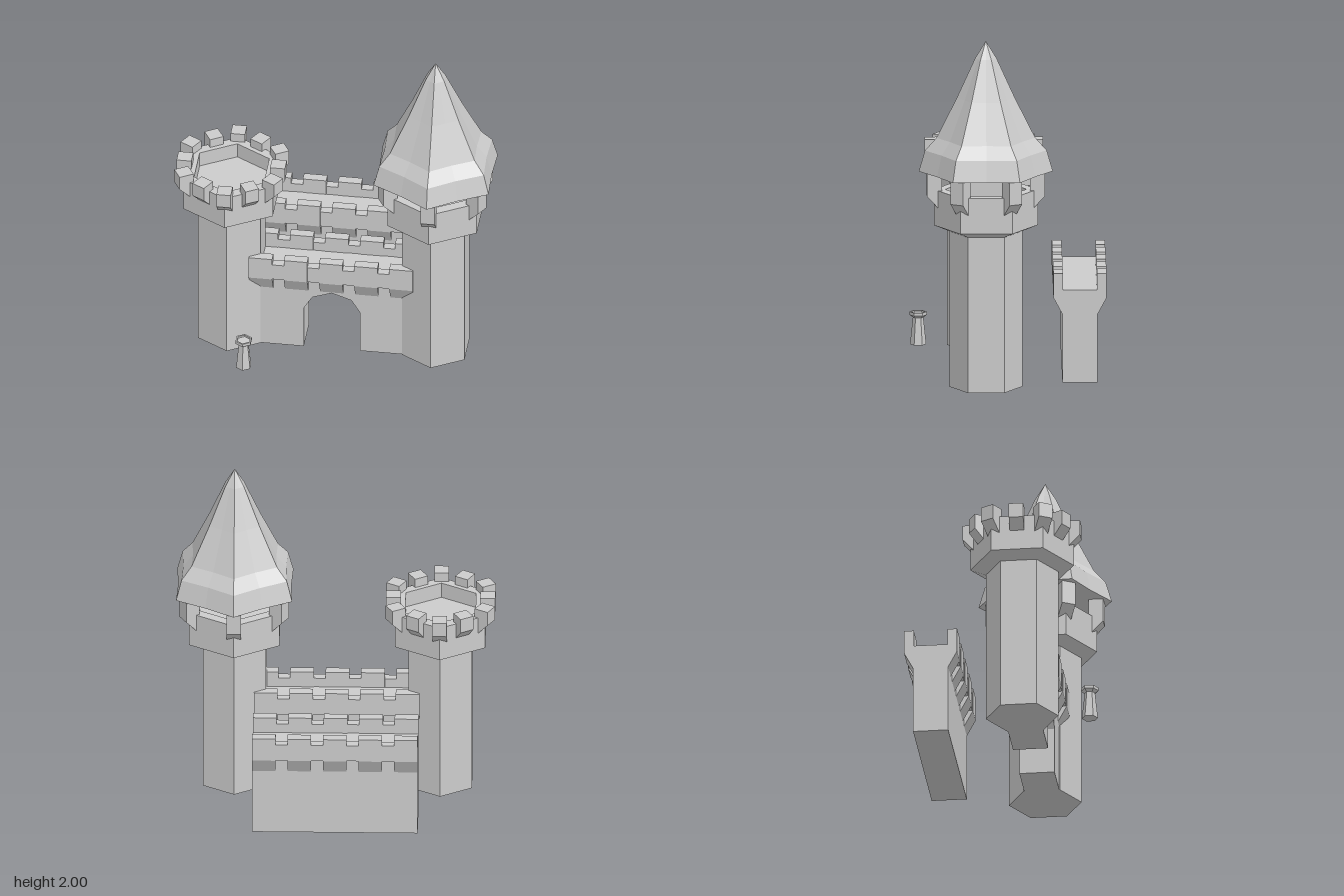
import * as THREE from 'three';

const mat = new THREE.MeshStandardMaterial({ color: 0xcccccc, flatShading: true });

function add(parent, name, geometry) {
  const mesh = new THREE.Mesh(geometry, mat);
  mesh.name = name;
  parent.add(mesh);
  return mesh;
}

const vecs = pts => pts.map(([a, b]) => new THREE.Vector2(a, b));

// Six-sided solid turned from a (radius, y) profile, corners on +z and -z
const hexSolid = (pts, sides = 6) => new THREE.LatheGeometry(vecs(pts), sides);

// Profile extruded symmetrically about z = 0
function slab(pts, depth) {
  const g = new THREE.ExtrudeGeometry(new THREE.Shape(vecs(pts)), { depth, bevelEnabled: false });
  return g.translate(0, 0, -depth / 2);
}

// Tower with flared head, sunken deck and bracketed merlons
function tower(name, x, merlons, merlonTop) {
  const g = new THREE.Group();
  g.name = name;
  g.position.set(x, 0, 0.13);
  add(g, 'towerBody', hexSolid([
    [0, 0], [0.207, 0], [0.207, 0.9], [0.295, 0.935], [0.295, 1.142],
    [0.23, 1.142], [0.23, 1.05], [0, 1.05]]));
  const step = 12 / merlons;
  for (let i = 0; i < 12; i += step) {
    // Corners reach further out than the flat sides
    const corner = i % 2 === 0;
    const inner = corner ? 0.25 : 0.225, outer = corner ? 0.335 : 0.31;
    const m = add(g, 'towerMerlon', slab([
      [inner, 1.04], [outer - 0.065, 1.04], [outer, 1.11],
      [outer, merlonTop], [inner, merlonTop]], 0.082));
    m.rotation.y = i * Math.PI / 6 - Math.PI / 2;
  }
  return g;
}

// Concave spire: six ridges with slightly hollow faces between them
function spire() {
  const g = hexSolid([
    [0, 1.246], [0.38, 1.246], [0.345, 1.367], [0.28, 1.44],
    [0.165, 1.67], [0.061, 1.9], [0, 2]], 12);
  const p = g.attributes.position;
  const hollow = Math.cos(Math.PI / 6) * 0.975;
  for (let i = 0; i < p.count; i++) {
    const k = Math.round(Math.atan2(p.getX(i), p.getZ(i)) / (Math.PI / 6));
    if (k % 2 !== 0) p.setXYZ(i, p.getX(i) * hollow, p.getY(i), p.getZ(i) * hollow);
  }
  return g;
}

// Curtain wall with a parapet on both sides, optionally pierced by a gate
function wall(name, z, gate) {
  const g = new THREE.Group();
  g.name = name;
  g.position.set(-0.008, 0, z);
  const half = 0.469;
  const arch = gate ? [
    [-0.16, 0], [-0.16, 0.27], [-0.112, 0.35], [0, 0.39],
    [0.112, 0.35], [0.16, 0.27], [0.16, 0]] : [];
  add(g, 'wallBody', slab([
    [-half, 0], ...arch, [half, 0], [half, 0.535], [-half, 0.535]], 0.2));
  for (const side of [0, Math.PI]) {
    const parapet = new THREE.Group();
    parapet.name = 'parapet';
    parapet.rotation.y = side;
    g.add(parapet);
    add(parapet, 'parapetBand', new THREE.BoxGeometry(2 * half - 0.01, 0.1, 0.049)
      .translate(0, 0.54, 0.1225));
    for (let i = -2; i <= 2; i++) {
      const m = add(parapet, 'wallMerlon', slab([
        [0.096, 0.395], [0.1, 0.395], [0.151, 0.49], [0.151, 0.63], [0.096, 0.63]], 0.134));
      m.rotation.y = -Math.PI / 2;
      m.position.x = i * 0.201;
    }
  }
  return g;
}

export function createModel() {
  const model = new THREE.Group();
  model.name = 'castle';

  model.add(tower('openTower', -0.595, 12, 1.196));

  const roofed = tower('roofedTower', 0.572, 6, 1.25);
  add(roofed, 'spireRoof', spire());
  model.add(roofed);

  model.add(wall('gateWall', 0.13, true));
  model.add(wall('rearWall', -0.405, false));

  // Small standing brazier by the gate
  const brazier = add(model, 'brazier', hexSolid([
    [0, 0.03], [0.046, 0.03], [0.03, 0.185], [0.05, 0.2], [0.05, 0.218],
    [0.04, 0.218], [0.04, 0.207], [0, 0.207]]));
  brazier.position.set(-0.475, 0, 0.503);

  return model;
}
